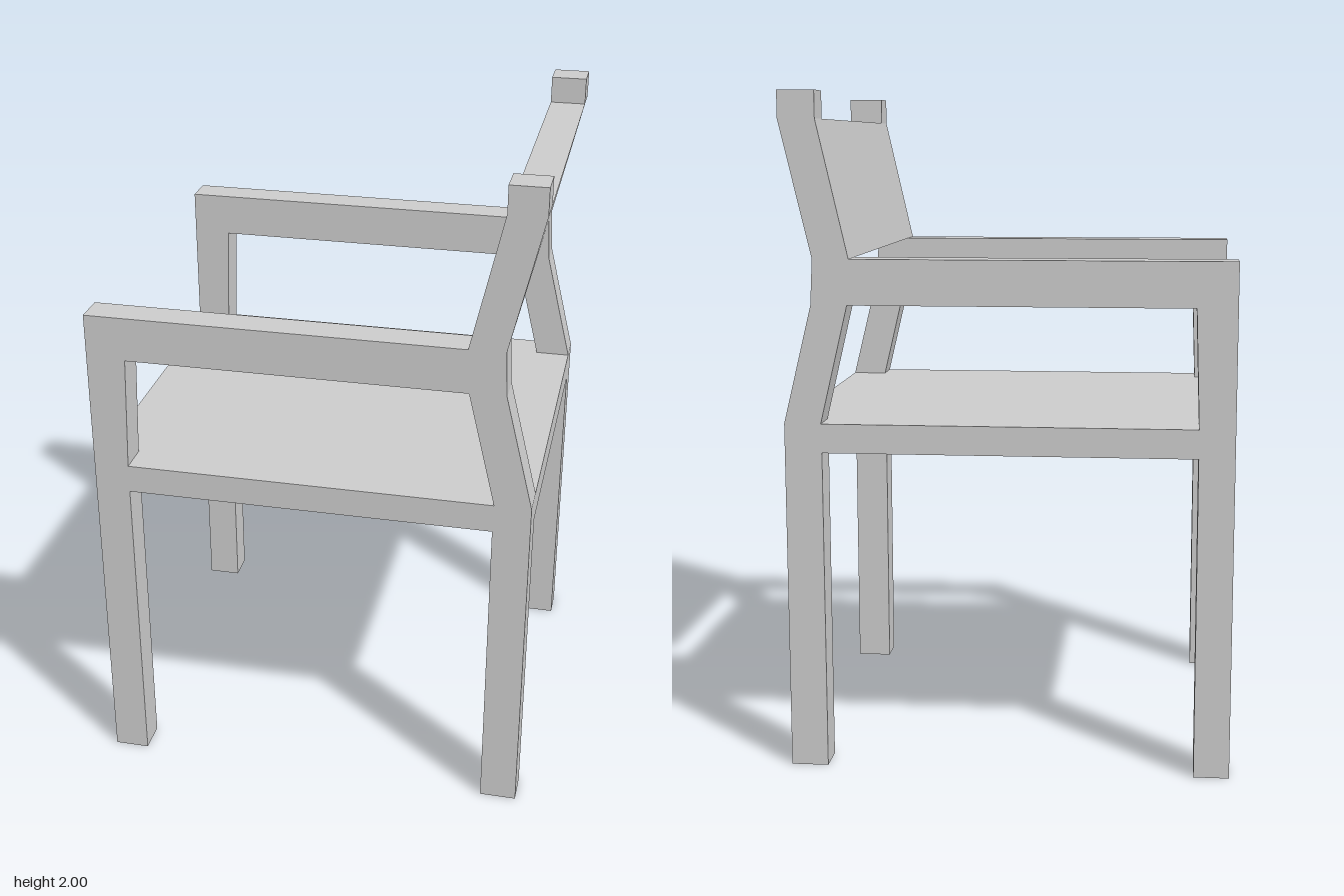
import * as THREE from 'three';

const HALF_DEPTH = 0.585; // outer face of the side frames
const INNER = 0.488; // inner face of the side frames

const points = (list) => list.map(([x, y]) => new THREE.Vector2(x, y));

// Extrudes a profile in the xy plane from z0 to z1
function slab(name, shape, z0, z1, material) {
  const geometry = new THREE.ExtrudeGeometry(shape, { depth: z1 - z0, bevelEnabled: false });
  geometry.translate(0, 0, z0);
  const mesh = new THREE.Mesh(geometry, material);
  mesh.name = name;
  return mesh;
}

export function createModel() {
  const group = new THREE.Group();
  group.name = 'armchair';
  const material = new THREE.MeshStandardMaterial({ color: 0xcccccc, flatShading: true });

  // Side frame: two legs, seat rail, armrest and bent back post in one outline
  const frame = new THREE.Shape(points([
    [-0.655, 0], [-0.55, 0], [-0.55, 0.957], [0.545, 0.957], [0.545, 0],
    [0.655, 0], [0.655, 1.043], [0.57, 1.39], [0.563, 1.523], [0.655, 1.92],
    [0.655, 2], [0.547, 2], [0.547, 1.92], [0.457, 1.523], [-0.655, 1.523],
  ]));
  // Opening between seat rail and armrest
  frame.holes.push(new THREE.Path(points([
    [-0.55, 1.043], [-0.538, 1.39], [0.464, 1.39], [0.547, 1.043],
  ])));
  group.add(slab('leftSideFrame', frame, INNER, HALF_DEPTH, material));
  group.add(slab('rightSideFrame', frame, -HALF_DEPTH, -INNER, material));

  // Seat panel, flush with the rails and the outer leg faces
  const seat = new THREE.Shape(points([
    [-0.655, 0.957], [0.655, 0.957], [0.655, 1.043], [-0.655, 1.043],
  ]));
  group.add(slab('seat', seat, -INNER, INNER, material));

  // Backrest panel, following the slope of the posts
  const backrest = new THREE.Shape(points([
    [0.457, 1.523], [0.563, 1.523], [0.655, 1.92], [0.547, 1.92],
  ]));
  group.add(slab('backrest', backrest, -INNER, INNER, material));

  return group;
}
